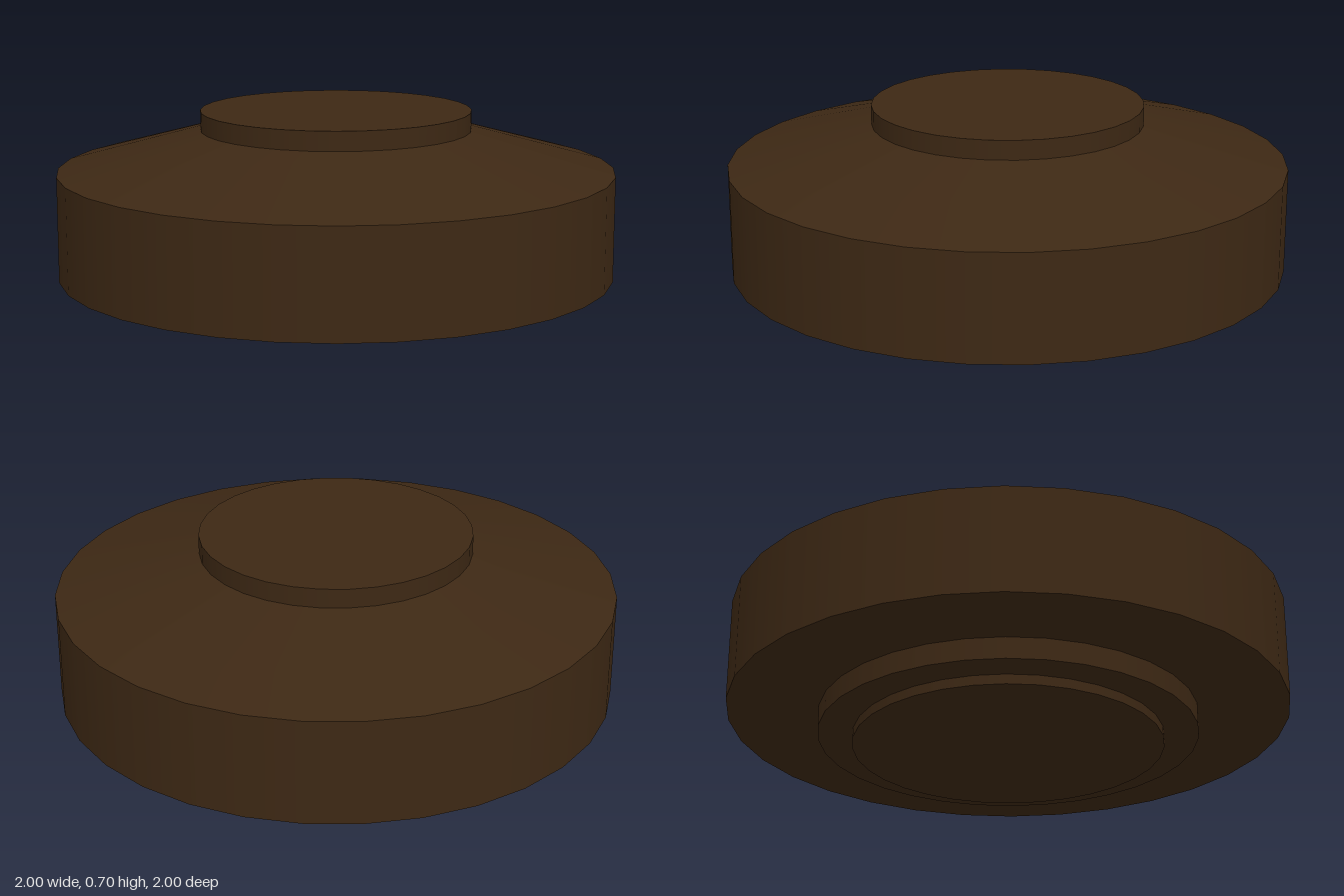
import * as THREE from 'three';

const SIDES = 32;

export function createModel() {
  const group = new THREE.Group();
  group.name = 'steppedDisc';
  const material = new THREE.MeshStandardMaterial({ color: 0x3d2814 });

  // One round tier between two heights, smooth around its side
  const tier = (name, bottomRadius, topRadius, y0, y1) => {
    const geometry = new THREE.CylinderGeometry(topRadius, bottomRadius, y1 - y0, SIDES);
    const mesh = new THREE.Mesh(geometry, material);
    mesh.name = name;
    mesh.position.y = (y0 + y1) / 2;
    group.add(mesh);
  };

  // Stacked from the ground up
  tier('foot', 0.553, 0.553, 0, 0.035);
  tier('lowerStep', 0.676, 0.676, 0.035, 0.112);
  tier('body', 1, 1, 0.112, 0.49);
  tier('slopedShoulder', 1, 0.486, 0.49, 0.634);
  tier('topCap', 0.486, 0.486, 0.634, 0.703);

  return group;
}
